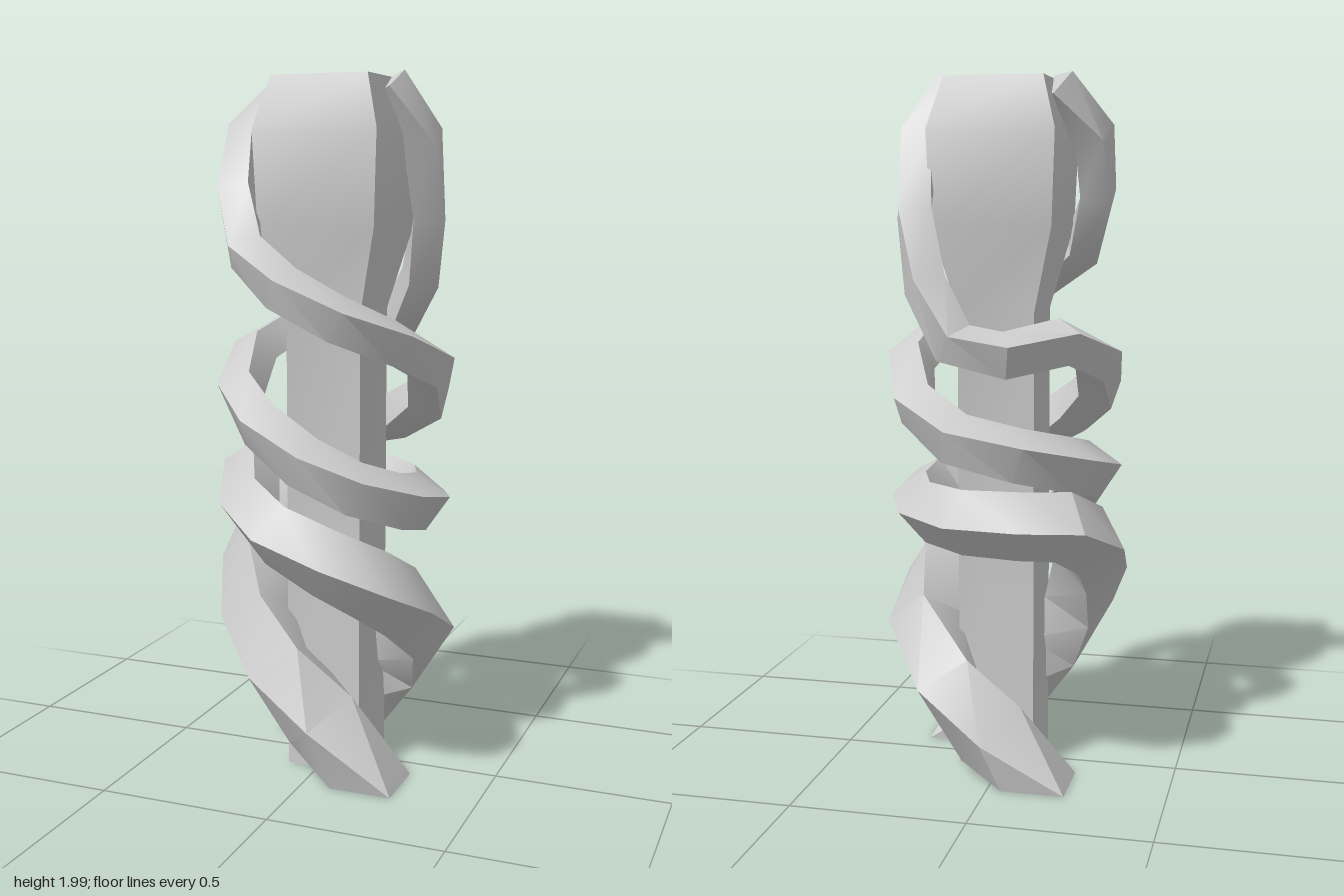
import * as THREE from 'three';
import { toCreasedNormals } from 'three/addons/utils/BufferGeometryUtils.js';

const AXIS = 0.015; // the column stands slightly off centre in x and z
const V = (x, y, z) => new THREE.Vector3(x, y, z);

// Joins four-cornered rings into a closed solid
function loft(rings) {
  const positions = rings.flat().flatMap((p) => p.toArray());
  const index = [];
  for (let i = 0; i < rings.length - 1; i++) {
    for (let j = 0; j < 4; j++) {
      const a = i * 4 + j, b = i * 4 + (j + 1) % 4;
      index.push(a, b, b + 4, a, b + 4, a + 4);
    }
  }
  const e = (rings.length - 1) * 4;
  index.push(0, 2, 1, 0, 3, 2, e, e + 1, e + 2, e, e + 2, e + 3);
  const geometry = new THREE.BufferGeometry();
  geometry.setAttribute('position', new THREE.Float32BufferAttribute(positions, 3));
  geometry.setIndex(index);
  return toCreasedNormals(geometry, 0.6);
}

// Square about a centre, spanned by the unit axes u and v, with half side h
function ring(c, u, v, h) {
  return [[1, 1], [-1, 1], [-1, -1], [1, -1]].map(([a, b]) =>
    c.clone().addScaledVector(u, a * h).addScaledVector(v, b * h));
}

// Square column, flaring into a bevelled head
function columnGeometry() {
  const profile = [[0, 0.11], [1.33, 0.11], [1.57, 0.17], [1.83, 0.18], [1.975, 0.14]];
  return loft(profile.map(([y, h]) => ring(V(AXIS, y, AXIS), V(0, 0, 1), V(1, 0, 0), h)));
}

// Square strand winding downwards, thicker and rolled on edge towards the foot
function strandGeometry(path) {
  const pts = path.map((p) => V(...p));
  const last = pts.length - 1;
  return loft(pts.map((p, i) => {
    const k = i / last;
    const foot = i === last;
    // the foot lies flat on the floor, square to the column
    const t = foot ? V(0, -1, 0)
      : pts[i + 1].clone().sub(pts[Math.max(i - 1, 0)]).normalize();
    const out = foot ? V(Math.sign(p.x), 0, Math.sign(p.z)) : V(p.x - AXIS, 0, p.z - AXIS);
    out.addScaledVector(t, -out.dot(t)).normalize();
    const side = t.clone().cross(out);
    const roll = THREE.MathUtils.degToRad(22 + 23 * THREE.MathUtils.smoothstep(k, 0.45, 0.66));
    const corners = ring(p, out.applyAxisAngle(t, roll), side.applyAxisAngle(t, roll), 0.045 + 0.045 * k * k);
    // trim the tip and foot to the full height
    corners.forEach((c) => { c.y = THREE.MathUtils.clamp(c.y, 0, 2); });
    return corners;
  }));
}

const LEFT_START = [
  [0.15, 1.955, -0.005], [0.235, 1.81, -0.075], [0.225, 1.6, -0.175], [0.175, 1.41, -0.25],
  [0.08, 1.26, -0.31], [-0.06, 1.23, -0.31], [-0.2, 1.26, -0.2], [-0.27, 1.2, -0.05],
  [-0.25, 1.1, 0.1], [-0.15, 1.02, 0.2], [0, 0.93, 0.24], [0.14, 0.86, 0.21],
  [0.24, 0.81, 0.1], [0.25, 0.78, -0.05], [0.19, 0.77, -0.19], [0.06, 0.77, -0.3],
  [-0.1, 0.77, -0.315], [-0.21, 0.76, -0.25], [-0.265, 0.7, -0.13], [-0.24, 0.6, 0.02],
  [-0.19, 0.46, 0.12], [-0.1, 0.32, 0.17], [0.03, 0.17, 0.185], [0.175, 0, 0.165],
];

const RIGHT_START = [
  [-0.135, 1.955, -0.025], [-0.235, 1.82, 0.06], [-0.235, 1.66, 0.13], [-0.17, 1.5, 0.23],
  [-0.03, 1.41, 0.31], [0.12, 1.33, 0.29], [0.24, 1.26, 0.17], [0.29, 1.18, 0.0],
  [0.24, 1.07, -0.14], [0.1, 0.99, -0.235], [-0.08, 0.95, -0.24], [-0.21, 0.91, -0.13],
  [-0.24, 0.87, 0.05], [-0.18, 0.79, 0.2], [-0.06, 0.73, 0.295], [0.1, 0.67, 0.315],
  [0.205, 0.61, 0.26], [0.25, 0.53, 0.13], [0.245, 0.42, -0.03], [0.14, 0.27, -0.16],
  [0.01, 0.13, -0.185], [-0.13, 0, -0.185],
];

export function createModel() {
  const model = new THREE.Group();
  model.name = 'entwinedPillar';
  const material = new THREE.MeshStandardMaterial({ color: 0xcccccc });
  const add = (name, geometry) => {
    const mesh = new THREE.Mesh(geometry, material);
    mesh.name = name;
    model.add(mesh);
  };
  add('column', columnGeometry());
  add('leftStrand', strandGeometry(LEFT_START));
  add('rightStrand', strandGeometry(RIGHT_START));
  return model;
}
